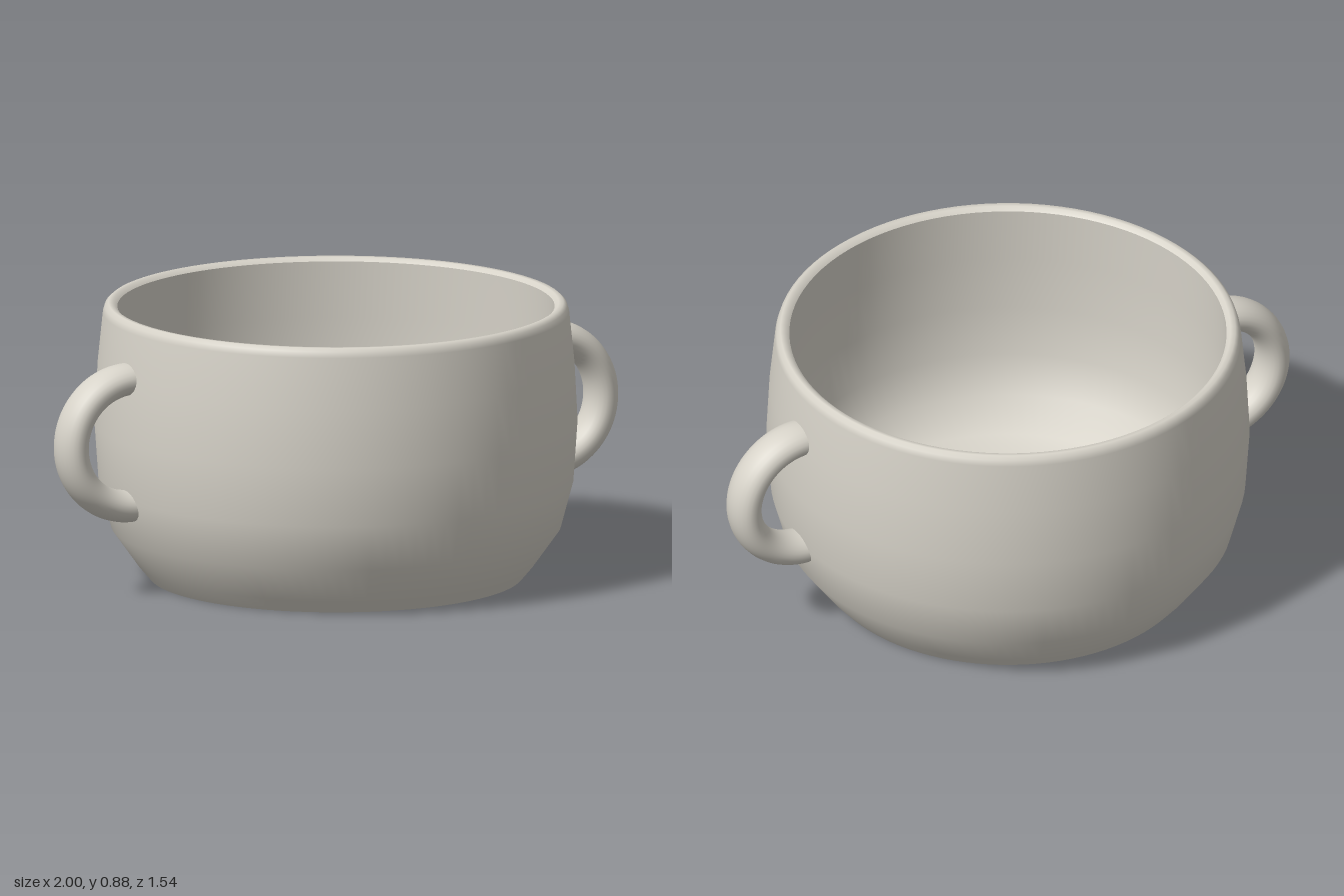
import * as THREE from 'three';

const SEGMENTS = 96;

// Smooth surface of revolution from [radius, height] points
function turned(name, points, material) {
  const profile = points.map(([r, y]) => new THREE.Vector2(r, y));
  const mesh = new THREE.Mesh(new THREE.LatheGeometry(profile, SEGMENTS), material);
  mesh.name = name;
  return mesh;
}

export function createModel() {
  const group = new THREE.Group();
  group.name = 'twoHandledBowl';

  const glaze = new THREE.MeshStandardMaterial({ color: 0xd6d2c8 });
  glaze.name = 'pale grey glaze';
  const clay = new THREE.MeshStandardMaterial({ color: 0xb09c80 });
  clay.name = 'bare brown clay';

  // Bellied outer wall with a softly rounded rim
  group.add(turned('outerWall', [
    [0.595, 0], [0.633, 0.045], [0.715, 0.16], [0.755, 0.31], [0.768, 0.5],
    [0.758, 0.69], [0.741, 0.855], [0.735, 0.874], [0.723, 0.885],
    [0.708, 0.884], [0.695, 0.872],
  ], glaze));

  // Inner wall curving into the floor
  group.add(turned('innerWall', [
    [0.695, 0.872], [0.7, 0.69], [0.703, 0.5], [0.69, 0.33], [0.65, 0.2],
    [0.56, 0.11], [0.4, 0.07], [0.2, 0.06], [0, 0.06],
  ], glaze));

  // Unglazed foot ring and the recessed base inside it
  group.add(turned('footRing', [[0.515, 0.014], [0.545, 0.002], [0.595, 0]], clay));
  group.add(turned('base', [[0, 0.014], [0.515, 0.014]], clay));

  // Half-ring handles, wider than they are thick, sunk slightly into the wall
  const overlap = 0.05;
  const ring = new THREE.TorusGeometry(0.206, 0.051, 24, 48, Math.PI + overlap * 2);
  ring.rotateZ(-Math.PI / 2 - overlap);
  ring.scale(1, 1, 1.4);
  for (const side of [1, -1]) {
    const handle = new THREE.Mesh(ring, glaze);
    handle.name = side > 0 ? 'leftHandle' : 'rightHandle';
    handle.position.set(side * 0.743, 0.5, 0);
    if (side < 0) handle.rotation.y = Math.PI;
    group.add(handle);
  }

  return group;
}
